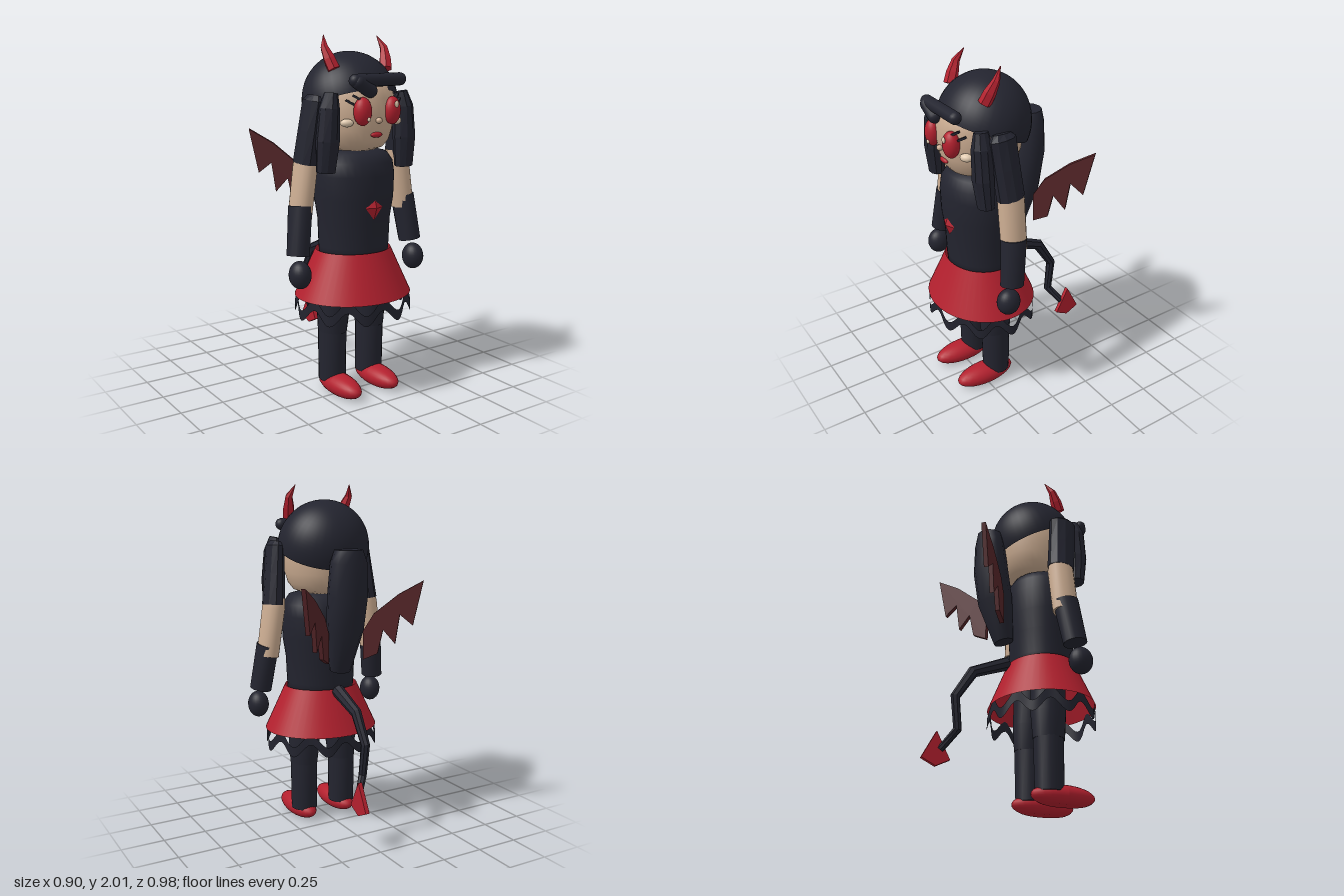
import * as THREE from 'three';

const mat = (name, color, side = THREE.FrontSide) => {
  const m = new THREE.MeshStandardMaterial({ color, side });
  m.name = name;
  return m;
};

export function createModel() {
  const dark = mat('midnight', 0x23242f, THREE.DoubleSide);
  const red = mat('crimson', 0xb3202e, THREE.DoubleSide);
  const skin = mat('skin', 0xcbac91);
  const wingMat = mat('maroon', 0x542427);
  const cream = mat('cream', 0xe2cbb0);
  const model = new THREE.Group();
  model.name = 'hornedGirl';
  const V = (x, y, z) => new THREE.Vector3(x, y, z);

  const add = (name, geo, material, x = 0, y = 0, z = 0) => {
    const m = new THREE.Mesh(geo, material);
    m.name = name;
    m.position.set(x, y, z);
    model.add(m);
    return m;
  };
  const ball = (name, material, pos, r) => {
    const m = add(name, new THREE.SphereGeometry(1, 24, 16), material, ...pos);
    m.scale.set(...r);
    return m;
  };
  const lathe = (name, material, pts, z, scaleZ) => {
    const g = new THREE.LatheGeometry(pts.map(p => new THREE.Vector2(...p)), 36);
    add(name, g, material, 0, 0, z).scale.z = scaleZ;
  };
  // Capsule lying between two points
  const capsule = (name, material, a, b, r) => {
    const d = b.clone().sub(a);
    const m = add(name, new THREE.CapsuleGeometry(r, d.length(), 6, 14), material);
    m.position.copy(a).add(b).multiplyScalar(0.5);
    m.quaternion.setFromUnitVectors(V(0, 1, 0), d.normalize());
  };

  // Capped loft through rings given as [x, y, z, radiusX, radiusOther]
  const loft = (name, material, rings, sides = 8, flat = true) => {
    const c = rings.map(r => V(r[0], r[1], r[2]));
    const pos = [], idx = [], n = rings.length;
    const loop = (i, cx) => {
      const t = c[Math.min(i + 1, n - 1)].clone().sub(c[Math.max(i - 1, 0)]).normalize();
      const u = V(1, 0, 0).addScaledVector(t, -t.x).normalize();
      const v = t.clone().cross(u);
      for (let j = 0; j < sides; j++) {
        const a = (j / sides) * Math.PI * 2;
        const p = c[i].clone().addScaledVector(u, Math.cos(a) * rings[i][3])
          .addScaledVector(v, Math.sin(a) * rings[i][4]);
        pos.push(p.x, p.y, p.z);
      }
      if (cx) pos.push(c[i].x, c[i].y, c[i].z);
    };
    for (let i = 0; i < n; i++) loop(i, false);
    const start = n * sides, end = start + sides + 1;
    loop(0, true);
    loop(n - 1, true);
    for (let j = 0; j < sides; j++) {
      const k = (j + 1) % sides;
      for (let i = 0; i < n - 1; i++) {
        const a = i * sides, b = a + sides;
        idx.push(a + j, a + k, b + k, a + j, b + k, b + j);
      }
      idx.push(start + sides, start + k, start + j, end + sides, end + j, end + k);
    }
    let g = new THREE.BufferGeometry();
    g.setAttribute('position', new THREE.Float32BufferAttribute(pos, 3));
    g.setIndex(idx);
    if (flat) g = g.toNonIndexed();
    g.computeVertexNormals();
    return add(name, g, material);
  };

  // Torso, head and hair cap
  lathe('torso', dark, [[0, 0.74], [0.2, 0.76], [0.207, 0.85], [0.213, 1.0], [0.232, 1.12], [0.236, 1.25],
    [0.225, 1.32], [0.19, 1.37], [0.12, 1.388], [0, 1.39]], 0.193, 0.87);
  lathe('head', skin, [[0, 1.38], [0.12, 1.384], [0.165, 1.402], [0.195, 1.44], [0.213, 1.5], [0.225, 1.58],
    [0.225, 1.67], [0.2, 1.75], [0.12, 1.83], [0, 1.86]], 0.175, 1.08);
  const cap = add('hairCap', new THREE.SphereGeometry(0.27, 36, 20, 0, Math.PI * 2, 0, 1.68), dark, 0, 1.65, 0.15);
  cap.scale.set(1, 1, 0.94);
  cap.rotation.x = -0.38;

  // Fringe
  capsule('fringeBar', dark, V(-0.145, 1.765, 0.408), V(0.145, 1.77, 0.408), 0.035);
  capsule('fringeStrand', dark, V(-0.13, 1.755, 0.415), V(-0.055, 1.712, 0.415), 0.038);

  // Ponytail down the back
  loft('ponytail', dark, [[0, 1.65, -0.14, 0.08, 0.075], [0, 1.58, -0.14, 0.11, 0.085], [0, 1.4, -0.13, 0.12, 0.1],
    [0, 1.2, -0.1, 0.11, 0.1], [0, 0.95, -0.045, 0.065, 0.055]], 12, false);

  // Face centre
  ball('nose', skin, [0, 1.555, 0.422], [0.018, 0.016, 0.018]);
  ball('mouth', red, [0, 1.478, 0.4], [0.037, 0.015, 0.015]);
  ball('eyeGlint', cream, [0.095, 1.64, 0.45], [0.013, 0.018, 0.008]);
  ball('eyeGlint', cream, [-0.083, 1.565, 0.446], [0.01, 0.012, 0.008]);

  // Wing outline: distance along the span, height
  const wingShape = new THREE.Shape([[0, 1.18], [0.06, 1.28], [0.2, 1.395], [0.34, 1.475], [0.285, 1.22], [0.21, 1.28],
    [0.185, 1.11], [0.115, 1.19], [0.085, 1.05], [0, 1.01]].map(p => new THREE.Vector2(...p)));

  for (const s of [-1, 1]) {
    const side = s > 0 ? 'left' : 'right';
    // Eyes, lashes and cheeks
    ball(side + 'Eye', red, [s * 0.097, 1.605, 0.408], [0.05, 0.075, 0.044]).rotation.y = s * 0.25;
    for (const k of [0, 1]) {
      const lash = add(side + 'Lash', new THREE.BoxGeometry(0.05, 0.012, 0.015), dark,
        s * (0.13 + k * 0.03), 1.678 - k * 0.025, 0.4 - k * 0.02);
      lash.rotation.set(0, s * 0.6, s * 0.5);
    }
    ball(side + 'Cheek', cream, [s * 0.165, 1.545, 0.36], [0.035, 0.022, 0.025]).rotation.y = s * 0.6;

    // Horns
    loft(side + 'Horn', red, [[s * 0.172, 1.82, 0.25, 0.036, 0.036], [s * 0.185, 1.875, 0.225, 0.034, 0.034],
      [s * 0.197, 1.935, 0.195, 0.022, 0.022], [s * 0.177, 2.0, 0.155, 0.002, 0.002]], 6);

    // Side locks
    loft(side + 'OuterLock', dark, [[s * 0.275, 1.685, 0.215, 0.025, 0.055], [s * 0.282, 1.66, 0.215, 0.045, 0.08],
      [s * 0.295, 1.5, 0.2, 0.055, 0.08], [s * 0.312, 1.325, 0.182, 0.062, 0.08]], 10);
    loft(side + 'FrontLock', dark, [[s * 0.23, 1.7, 0.31, 0.035, 0.04], [s * 0.245, 1.62, 0.315, 0.055, 0.058],
      [s * 0.255, 1.45, 0.315, 0.065, 0.06], [s * 0.262, 1.285, 0.305, 0.055, 0.045]], 10);

    // Arms and hands
    loft(side + 'UpperArm', skin, [[s * 0.3, 1.37, 0.18, 0.055, 0.065], [s * 0.312, 1.31, 0.18, 0.064, 0.077],
      [s * 0.352, 1.03, 0.185, 0.062, 0.075]], 16, false);
    loft(side + 'Sleeve', dark, [[s * 0.35, 1.095, 0.187, 0.063, 0.075], [s * 0.385, 0.83, 0.22, 0.062, 0.068]], 16, false);
    ball(side + 'Hand', dark, [s * 0.39, 0.73, 0.247], [0.06, 0.077, 0.068]);

    // Legs, thigh cuffs and shoes
    loft(side + 'Leg', dark, [[s * 0.13, 0.06, 0.168, 0.078, 0.08], [s * 0.13, 0.36, 0.168, 0.08, 0.086]], 20, false);
    loft(side + 'Thigh', dark, [[s * 0.13, 0.35, 0.17, 0.08, 0.09], [s * 0.125, 0.5, 0.172, 0.094, 0.1],
      [s * 0.115, 0.78, 0.18, 0.095, 0.1]], 20, false);
    const shoe = new THREE.SphereGeometry(1, 24, 16);
    const p = shoe.attributes.position;
    for (let i = 0; i < p.count; i++) if (p.getY(i) < -0.8) p.setY(i, -0.8);
    shoe.computeVertexNormals();
    add(side + 'Shoe', shoe, red, s * 0.13, 0.045, 0.247).scale.set(0.077, 0.062, 0.188);

    // Wings
    const g = new THREE.ExtrudeGeometry(wingShape, { depth: 0.026, bevelEnabled: false });
    g.translate(0, 0, -0.013);
    const wing = add(side + 'Wing', g, wingMat, s * 0.12, 0, -0.105);
    wing.rotation.y = s > 0 ? 0.7 : Math.PI - 0.7;
  }

  // Chest gem
  add('chestGem', new THREE.OctahedronGeometry(1), red, 0, 1.08, 0.385).scale.set(0.056, 0.068, 0.025);

  // Skirt and wavy hanging trim
  add('skirt', new THREE.CylinderGeometry(0.222, 0.345, 0.262, 48, 1, true), red, 0, 0.695, 0.187).scale.z = 0.875;
  const trim = new THREE.CylinderGeometry(0.34, 0.34, 0.06, 120, 1, true);
  const tp = trim.attributes.position;
  for (let i = 0; i < tp.count; i++) {
    const a = Math.atan2(tp.getZ(i), tp.getX(i));
    const w = Math.cos(10 * a), k = 1 + 0.02 * w;
    tp.setXYZ(i, tp.getX(i) * k, tp.getY(i) - 0.038 * w, tp.getZ(i) * k);
  }
  trim.computeVertexNormals();
  add('skirtTrim', trim, dark, 0, 0.515, 0.187).scale.z = 0.875;

  // Tail with spade tip
  loft('tail', dark, [[0, 0.82, -0.02, 0.038, 0.04], [0, 0.735, -0.23, 0.03, 0.034], [0, 0.575, -0.33, 0.026, 0.028],
    [0.005, 0.39, -0.31, 0.023, 0.025], [0.075, 0.29, -0.38, 0.02, 0.02]], 8);
  const spade = new THREE.Shape([[0.405, 0.39], [0.325, 0.235], [0.405, 0.195], [0.487, 0.235]]
    .map(q => new THREE.Vector2(...q)));
  add('tailSpade', new THREE.ExtrudeGeometry(spade, { depth: 0.024, bevelEnabled: false }), red, 0.091, 0, 0)
    .rotation.y = Math.PI / 2;
  model.getObjectByName('tailSpade').position.x = 0.068;

  return model;
}
